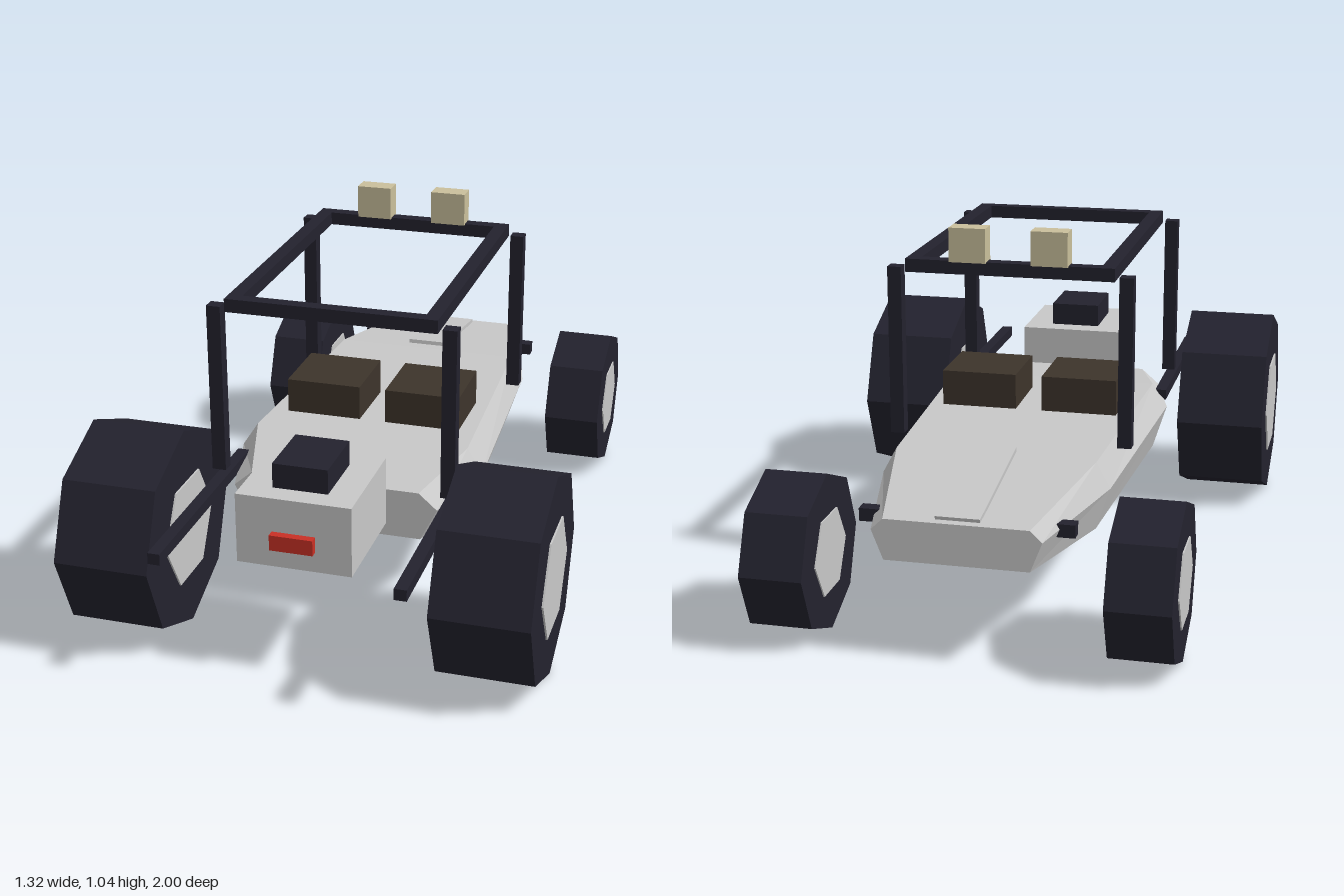
import * as THREE from 'three';

const paint = (name, color) => {
  const m = new THREE.MeshStandardMaterial({ color });
  m.name = name;
  return m;
};

export function createModel() {
  const group = new THREE.Group();
  const shell = paint('light grey', 0xc8c8c8);
  const dark = paint('dark blue grey', 0x23222e);
  const brown = paint('seat brown', 0x3d342b);
  const cream = paint('lamp cream', 0xcac09c);
  const red = paint('lamp red', 0xc93025);

  const add = (name, geometry, material) => {
    const mesh = new THREE.Mesh(geometry, material);
    mesh.name = name;
    group.add(mesh);
    return mesh;
  };
  // Box given by its extents along each axis
  const box = (name, material, [x0, x1], [y0, y1], [z0, z1]) => {
    const mesh = add(name, new THREE.BoxGeometry(x1 - x0, y1 - y0, z1 - z0), material);
    mesh.position.set((x0 + x1) / 2, (y0 + y1) / 2, (z0 + z1) / 2);
    return mesh;
  };

  // Hull: six-sided cross-sections [z, bottomX, bottomY, midX, midY, topX, topY]
  const rings = [
    [0.5, 0.25, 0.28, 0.298, 0.376, 0.245, 0.422],
    [0.24, 0.325, 0.248, 0.367, 0.38, 0.32, 0.452],
    [-0.51, 0.285, 0.248, 0.325, 0.368, 0.285, 0.442],
    [-0.93, 0.195, 0.28, 0.227, 0.362, 0.195, 0.393],
  ].map(([z, bx, by, mx, my, tx, ty]) => [
    [-bx, by, z], [bx, by, z], [mx, my, z], [tx, ty, z], [-tx, ty, z], [-mx, my, z],
  ]);
  const points = [];
  const tri = (...corners) => corners.forEach((c) => points.push(...c));
  for (let s = 0; s < rings.length - 1; s++) {
    const a = rings[s], b = rings[s + 1];
    for (let i = 0; i < 6; i++) {
      const j = (i + 1) % 6;
      tri(a[i], b[i], b[j]);
      tri(a[i], b[j], a[j]);
    }
  }
  const first = rings[0], last = rings[rings.length - 1];
  for (let i = 1; i < 5; i++) {
    tri(first[0], first[i], first[i + 1]);
    tri(last[0], last[i + 1], last[i]);
  }
  const hull = new THREE.BufferGeometry();
  hull.setAttribute('position', new THREE.Float32BufferAttribute(points, 3));
  hull.computeVertexNormals();
  add('hull', hull, shell);

  // Sloping hood plate
  const plate = add('hoodPlate', new THREE.BoxGeometry(0.12, 0.012, 0.405), shell);
  plate.position.set(0, 0.43, -0.71);
  plate.rotation.x = -0.155;

  // Engine, air box and red lamp
  box('engine', shell, [-0.16, 0.16], [0.333, 0.533], [0.532, 0.85]);
  box('airBox', dark, [-0.077, 0.077], [0.5, 0.603], [0.597, 0.788]);
  box('redLamp', red, [-0.06, 0.06], [0.392, 0.436], [0.84, 0.873]);

  // Axle stubs at the narrow end
  box('axle', dark, [-0.292, 0.292], [0.342, 0.378], [-0.83, -0.793]);

  // Top cross bars of the cage
  for (const z of [-0.327, 0.506]) {
    box('cageCrossBar', dark, [-0.3, 0.3], [0.909, 0.947], [z - 0.019, z + 0.019]);
  }

  // Tyre with a six-sided hub that shows on both faces
  const wheel = (name, x, z, radius, width, hubRadius, hubWidth) => {
    for (const [part, r, w, sides, material] of [
      ['Tyre', radius, width, 8, dark],
      ['Hub', hubRadius, hubWidth, 6, shell],
    ]) {
      const geometry = new THREE.CylinderGeometry(r, r, w, sides).toNonIndexed();
      geometry.computeVertexNormals();
      const mesh = add(name + part, geometry, material);
      mesh.rotation.z = Math.PI / 2;
      mesh.position.set(x, radius, z);
    }
  };

  for (const side of [-1, 1]) {
    const span = (c, w) => [side * c - w / 2, side * c + w / 2];
    wheel('large', side * 0.521, 0.64, 0.297, 0.27, 0.165, 0.28);
    wheel('small', side * 0.484, -0.776, 0.2235, 0.174, 0.123, 0.182);
    box('seat', brown, span(0.152, 0.225), [0.44, 0.553], [-0.1, 0.123]);
    box('roofLamp', cream, span(0.117, 0.105), [0.945, 1.043], [-0.355, -0.297]);
    box('sideRail', dark, span(0.333, 0.034), [0.374, 0.406], [0.33, 1]);
    box('cageTopBar', dark, span(0.28, 0.04), [0.909, 0.947], [-0.34, 0.522]);
    for (const z of [-0.327, 0.506]) {
      box('cagePost', dark, span(0.333, 0.04), [0.43, 0.922], [z - 0.019, z + 0.019]);
    }
  }
  return group;
}
